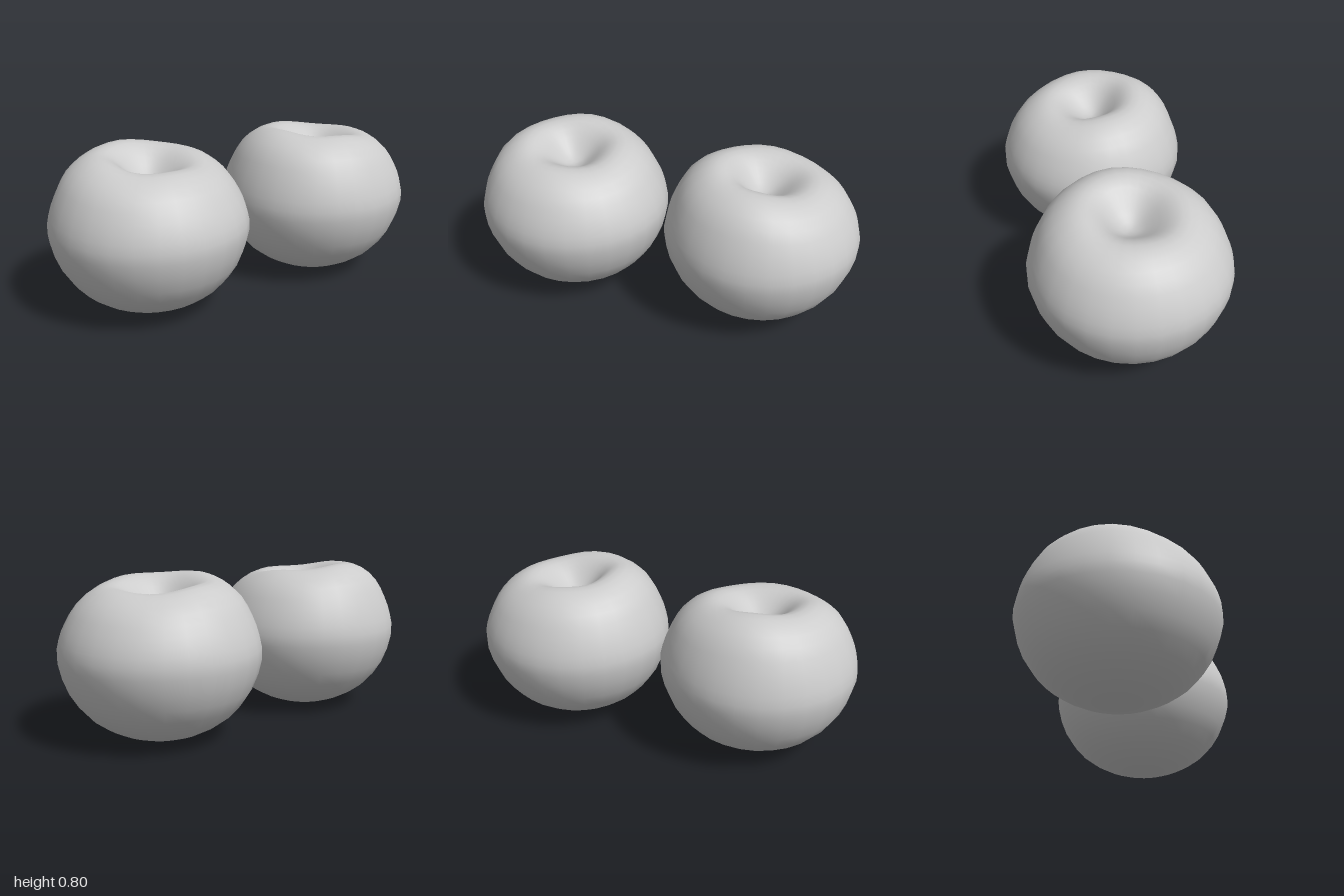
import * as THREE from 'three';
import { mergeVertices } from 'three/addons/utils/BufferGeometryUtils.js';

// Squat round fruit: a turned profile whose shoulder rises and falls around the dimple.
function fruitGeometry() {
  const profile = new THREE.SplineCurve([
    [0, 0.003], [0.1, 0.01], [0.22, 0.045], [0.35, 0.125], [0.445, 0.25], [0.493, 0.4],
    [0.483, 0.5], [0.45, 0.59], [0.395, 0.685], [0.315, 0.75], [0.235, 0.771],
    [0.165, 0.745], [0.1, 0.69], [0.045, 0.65], [0, 0.64],
  ].map(([r, y]) => new THREE.Vector2(r, y)));
  const points = profile.getPoints(28);
  points[0].x = points[28].x = 0;

  let geometry = new THREE.LatheGeometry(points, 28);
  const p = geometry.attributes.position;
  for (let i = 0; i < p.count; i++) {
    const x = p.getX(i), y = p.getY(i), z = p.getZ(i);
    const r = Math.hypot(x, z);
    const a = Math.atan2(x, z);
    // Full effect on the shoulder, fading to none at the waist and dimple centre
    const weight = THREE.MathUtils.smoothstep(y, 0.42, 0.76) * THREE.MathUtils.smoothstep(r, 0, 0.2);
    const wave = -0.025 * Math.cos(a) - 0.0075 * Math.sin(a) + 0.005 * Math.cos(4 * a) - 0.003;
    p.setY(i, y + weight * wave);
  }
  // Weld the seam and poles so that the shading is continuous
  geometry.deleteAttribute('uv');
  geometry.deleteAttribute('normal');
  geometry = mergeVertices(geometry, 1e-4);
  geometry.computeVertexNormals();
  return geometry;
}

export function createModel() {
  const group = new THREE.Group();
  group.name = 'fruitPair';
  const material = new THREE.MeshStandardMaterial({ color: 0xcccccc, roughness: 0.8 });
  const geometry = fruitGeometry();

  // The same fruit twice, the left one given a quarter turn
  const place = (name, x, z, turn) => {
    const fruit = new THREE.Mesh(geometry, material);
    fruit.name = name;
    fruit.position.set(x, 0, z);
    fruit.rotation.y = turn;
    group.add(fruit);
  };
  place('rightFruit', -0.506, -0.036, 0);
  place('leftFruit', 0.503, 0.029, Math.PI / 2);
  return group;
}
